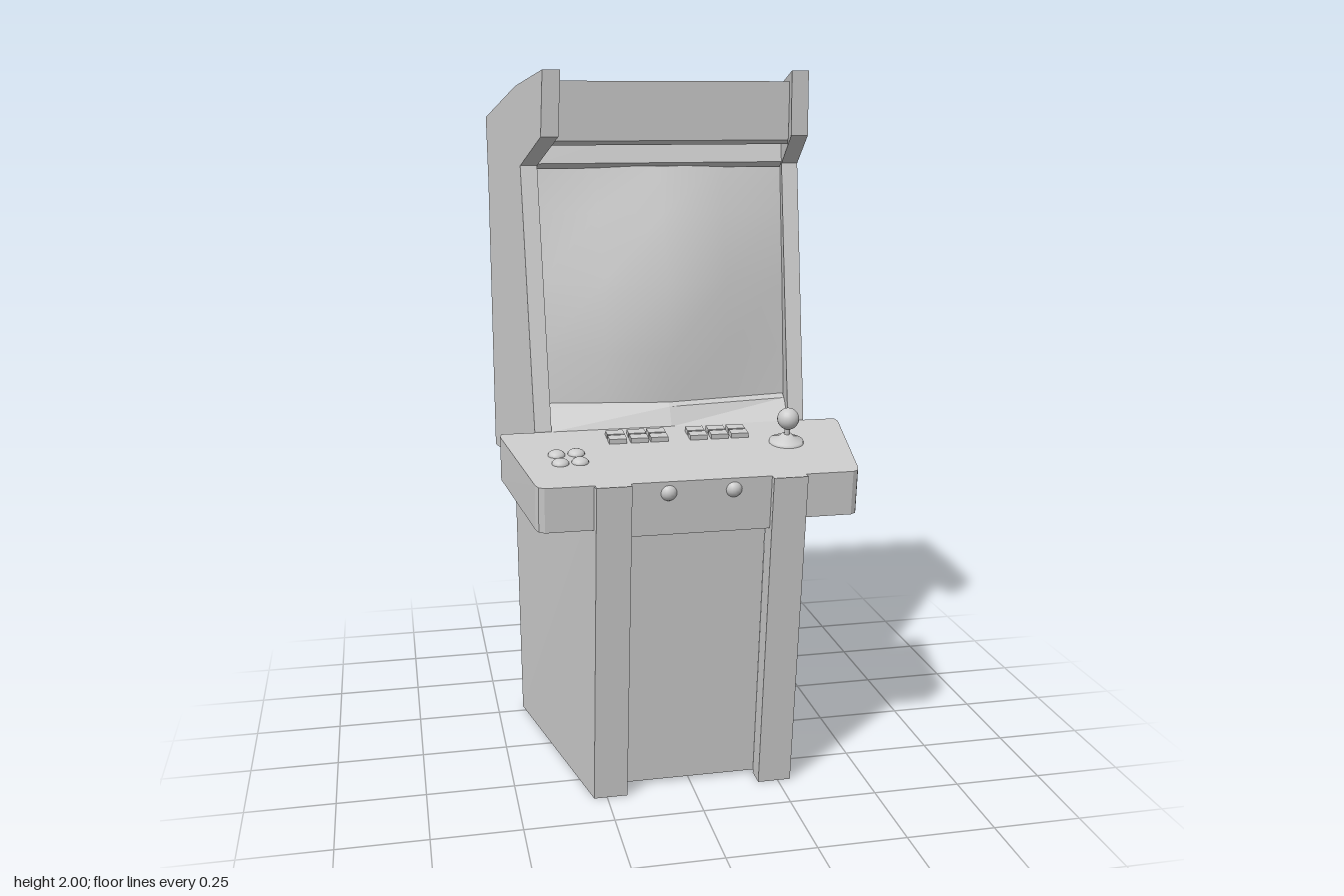
import * as THREE from 'three';

const thin = new THREE.MeshStandardMaterial({ color: 0xcccccc, side: THREE.DoubleSide });
const solid = new THREE.MeshStandardMaterial({ color: 0xcccccc });

// Sheet lofted through rows of [x, y, z] points; creased unless smooth
function sheet(name, rows, smooth = false) {
  const n = rows[0].length, index = [];
  for (let r = 0; r < rows.length - 1; r++) {
    for (let c = 0; c < n - 1; c++) {
      const a = r * n + c, b = a + n;
      index.push(a, b, a + 1, b, b + 1, a + 1);
    }
  }
  let g = new THREE.BufferGeometry();
  g.setAttribute('position', new THREE.Float32BufferAttribute(rows.flat(2), 3));
  g.setIndex(index);
  if (!smooth) g = g.toNonIndexed();
  g.computeVertexNormals();
  const mesh = new THREE.Mesh(g, thin);
  mesh.name = name;
  return mesh;
}

// Flat outline whose points are placed in space by a rule (a, b) => [x, y, z]
function plate(name, outline, rule) {
  const flat = new THREE.ShapeGeometry(new THREE.Shape(outline.map(p => new THREE.Vector2(...p))));
  const p = flat.attributes.position;
  for (let i = 0; i < p.count; i++) p.setXYZ(i, ...rule(p.getX(i), p.getY(i)));
  const g = flat.toNonIndexed();
  g.computeVertexNormals();
  const mesh = new THREE.Mesh(g, thin);
  mesh.name = name;
  return mesh;
}

function part(name, geometry, x, y, z, tilt = 0) {
  const mesh = new THREE.Mesh(geometry, solid);
  mesh.name = name;
  mesh.position.set(x, y, z);
  mesh.rotation.x = tilt;
  return mesh;
}

// Upper side walls narrow toward the front; the control deck slopes down
const wallX = (y, z) => 0.47 - 0.16 * (z + 0.48) + 0.019 * (1.87 - y);
const THICK = 0.048;
const deckY = z => 0.996 - 0.138 * (z - 0.065);
const TILT = Math.atan(0.138);

// One side of the cabinet: s = 1 left, s = -1 right
function cabinetSide(s) {
  const g = new THREE.Group();
  g.name = s > 0 ? 'leftSide' : 'rightSide';

  // Upper wall, given as (z, y)
  const front = [[-0.13, 1.96], [0.145, 2.0], [0.13, 1.825], [-0.08, 1.74], [0.065, 1.0], [0.065, 0.88]];
  const back = [[-0.39, 0.855], [-0.455, 1.68], [-0.48, 1.87]];
  g.add(plate('upperWall', [...front, ...back], (z, y) => [s * wallX(y, z), y, z]));
  g.add(sheet('wallEdge', [0, THICK].map(t => front.map(([z, y]) => [s * (wallX(y, z) - t), y, z]))));
  const inner = [...front, [-0.06, 0.95], [-0.13, 1.74]];
  g.add(plate('innerWall', inner, (z, y) => [s * (wallX(y, z) - THICK), y, z]));

  // Lower wall and the ledge joining it to the upper wall
  g.add(sheet('lowerWall', [
    [[s * 0.287, 0, 0.37], [s * 0.42, 0, -0.28]],
    [[s * 0.287, 0.94, 0.48], [s * 0.42, 0.855, -0.355]],
  ]));
  g.add(sheet('ledge', [
    [[s * wallX(0.88, 0.065), 0.88, 0.065], [s * wallX(0.855, -0.39), 0.855, -0.39]],
    [[s * 0.352, 0.87, 0.065], [s * 0.42, 0.85, -0.355]],
  ]));

  // Front post
  g.add(sheet('frontPost', [
    [[s * 0.287, 0, 0.37], [s * 0.192, 0, 0.37], [s * 0.192, 0, 0.31]],
    [[s * 0.287, 0.94, 0.48], [s * 0.192, 0.94, 0.48], [s * 0.192, 0.94, 0.415]],
  ]));
  g.add(sheet('postCap', [0.48, 0.455].map(z => [[s * 0.287, deckY(z), z], [s * 0.192, deckY(z), z]])));

  // Wing of the control deck: skirt and underside
  const rim = [[0.345, 0.065], [0.495, 0.065], [0.5, 0.085], [0.442, 0.435], [0.435, 0.452], [0.42, 0.46], [0.287, 0.46]];
  g.add(sheet('deckSkirt', [0, 1].map(k =>
    rim.map(([x, z]) => [s * x, deckY(z) - 0.125 * k, z - 0.012 * k * (z > 0.4 ? 1 : 0)]))));
  g.add(plate('wingUnderside', rim, (x, z) => [s * x, deckY(z) - 0.125, z - (z > 0.4 ? 0.012 : 0)]));
  return g;
}

export function createModel() {
  const model = new THREE.Group();
  model.name = 'arcadeCabinet';
  model.add(cabinetSide(1), cabinetSide(-1));

  // Strip across the cabinet following a (halfWidth, y, z) path
  const across = (name, path) =>
    model.add(sheet(name, path.map(([w, y, z]) => [[-w, y, z], [w, y, z]])));

  across('roof', [[0.47, 1.87, -0.48], [wallX(1.96, -0.13), 1.96, -0.13]]);
  across('signBack', [[0.364, 1.96, -0.13], [0.36, 1.745, -0.08], [0.363, 1.73, -0.105]]);
  across('signPanel', [
    [0.332, 1.972, 0.075], [0.33, 1.972, 0.093], [0.332, 1.812, 0.079],
    [0.335, 1.8, 0.06], [0.332, 1.972, 0.075],
  ]);
  across('fascia', [[0.192, deckY(0.46), 0.46], [0.192, 0.79, 0.442], [0.192, 0.79, 0.397]]);
  across('kickPanel', [[0.192, 0.79, 0.397], [0.192, 0.01, 0.311]]);

  // Bulging screen: rows of y, centre z, edge z
  const rows = [[1.735, -0.09, -0.12], [1.6, -0.045, -0.1], [1.4, 0.02, -0.07], [1.2, 0.025, -0.05], [1.055, 0.02, -0.04]];
  model.add(sheet('screen', rows.map(([y, mid, edge]) =>
    [-1, -0.5, 0, 0.5, 1].map(u => [u * 0.367, y, mid + (edge - mid) * Math.abs(u)])), true));

  // Bezel below the screen
  model.add(sheet('bezel', [
    [[-0.365, 1.058, -0.04], [0, 1.058, 0.02], [0.365, 1.058, -0.04]],
    [[-0.363, 1.048, -0.018], [0, 1.048, 0.036], [0.363, 1.048, -0.018]],
    [[-0.355, 0.995, 0.066], [0, 0.995, 0.066], [0.355, 0.995, 0.066]],
  ]));

  // Control deck top
  const half = [[0.495, 0.065], [0.5, 0.085], [0.442, 0.435], [0.435, 0.452], [0.42, 0.46]];
  const outline = [...half, ...half.map(([x, z]) => [-x, z]).reverse()];
  model.add(plate('controlDeck', outline, (x, z) => [x, deckY(z), z]));

  // Two blocks of rectangular keys
  const key = new THREE.BoxGeometry(0.05, 0.02, 0.033);
  for (const x of [-0.178, -0.116, -0.059, 0.055, 0.116, 0.175]) {
    for (const z of [0.125, 0.164]) model.add(part('key', key, x, deckY(z) + 0.004, z, TILT));
  }

  // Round buttons on the deck and the fascia
  const dome = new THREE.SphereGeometry(0.024, 16, 10);
  for (const [x, z] of [[-0.36, 0.24], [-0.305, 0.237], [-0.357, 0.3], [-0.303, 0.298]]) {
    const b = part('button', dome, x, deckY(z), z, TILT);
    b.scale.y = 0.6;
    model.add(b);
  }
  for (const x of [-0.09, 0.088]) model.add(part('startButton', dome, x, 0.91, 0.447));

  // Joystick
  const jy = deckY(0.23);
  const base = new THREE.LatheGeometry(
    [[0.05, -0.004], [0.048, 0.008], [0.025, 0.014], [0.014, 0.026], [0, 0.026]].map(p => new THREE.Vector2(...p)), 24);
  model.add(part('joystickBase', base, 0.298, jy, 0.23, TILT));
  model.add(part('joystickShaft', new THREE.CylinderGeometry(0.008, 0.008, 0.08, 12), 0.298, jy + 0.04, 0.238, TILT));
  model.add(part('joystickBall', new THREE.SphereGeometry(0.031, 20, 14), 0.298, 1.045, 0.245));
  return model;
}
